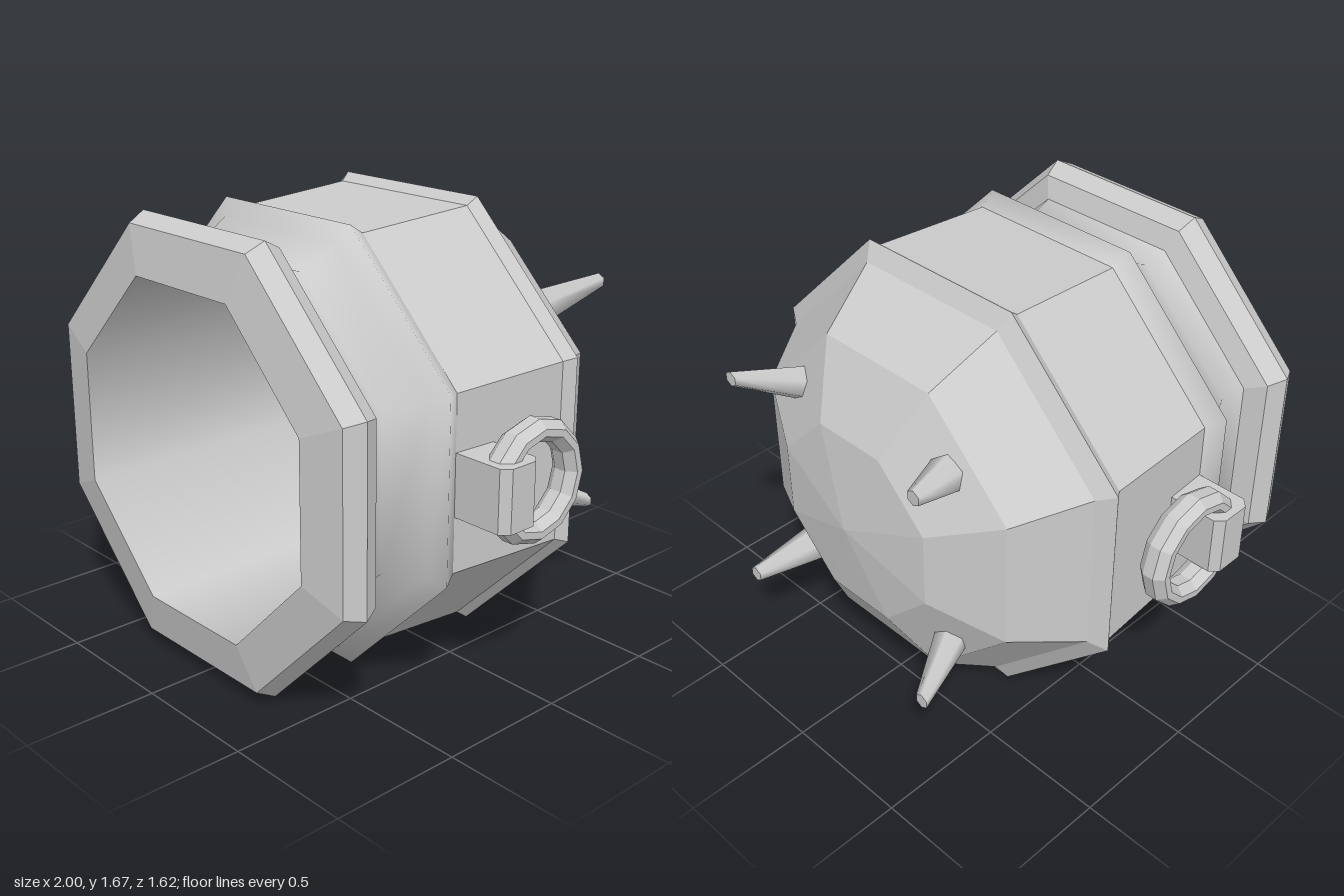
import * as THREE from 'three';

const CENTER_Y = 0.84;
const flat = new THREE.MeshStandardMaterial({ color: 0xcccccc, flatShading: true });
const smooth = new THREE.MeshStandardMaterial({ color: 0xcccccc });

// Octagonal surface around the z axis from [z, distance to flat side] pairs;
// rising z faces outward, falling z faces inward.
function octagon(name, profile, material) {
  const points = profile.map(([z, r]) => new THREE.Vector2(r / Math.cos(Math.PI / 8), z));
  const geometry = new THREE.LatheGeometry(points, 8, Math.PI / 8).rotateX(Math.PI / 2);
  const mesh = new THREE.Mesh(geometry, material);
  mesh.name = name;
  return mesh;
}

// Lug with chamfered outer corners, drawn in plan and extruded upward
function makeLug(side) {
  const shape = new THREE.Shape(
    [[0.74, 0.11], [0.97, 0.11], [1, 0.14], [1, 0.25], [0.97, 0.28], [0.74, 0.28]]
      .map(([x, z]) => new THREE.Vector2(side * x, -z)));
  const geometry = new THREE.ExtrudeGeometry(shape, { depth: 0.23, bevelEnabled: false });
  geometry.rotateX(-Math.PI / 2).translate(0, -0.115, 0);
  const mesh = new THREE.Mesh(geometry, flat);
  mesh.name = 'lug';
  return mesh;
}

// Bevelled ring with twelve sides
function makeRing(side) {
  const section = [
    [0.223, -0.022], [0.223, 0.022], [0.196, 0.055], [0.17, 0.055],
    [0.143, 0.022], [0.143, -0.022], [0.17, -0.055], [0.196, -0.055], [0.223, -0.022],
  ].map(([r, y]) => new THREE.Vector2(r, y));
  const mesh = new THREE.Mesh(new THREE.LatheGeometry(section, 12).rotateZ(Math.PI / 2), flat);
  mesh.name = 'ring';
  mesh.position.set(side * 0.915, 0, 0.057);
  return mesh;
}

// Blunt spike leaning outward, with both ends square to the z axis
function makeSpike(sx, sy) {
  const base = new THREE.Vector3(sx * 0.365, sy * 0.365, -0.56);
  const tip = new THREE.Vector3(sx * 0.468, sy * 0.455, -0.81);
  const geometry = new THREE.CylinderGeometry(0.03, 0.075, 1, 6).rotateX(-Math.PI / 2);
  const position = geometry.attributes.position;
  const v = new THREE.Vector3();
  for (let i = 0; i < position.count; i++) {
    v.fromBufferAttribute(position, i);
    const t = 0.5 - v.z;
    v.z = 0;
    v.add(base.clone().lerp(tip, t));
    position.setXYZ(i, v.x, v.y, v.z);
  }
  const mesh = new THREE.Mesh(geometry, smooth);
  mesh.name = 'spike';
  return mesh;
}

export function createModel() {
  const model = new THREE.Group();
  model.name = 'spikedBarrel';
  const body = new THREE.Group();
  body.name = 'body';
  body.position.y = CENTER_Y;
  model.add(body);

  // Faceted dome, raised ridge and main band
  body.add(octagon('domeAndBand', [
    [-0.73, 0], [-0.68, 0.36], [-0.54, 0.615], [-0.29, 0.77],
    [-0.25, 0.835], [-0.21, 0.805], [0.28, 0.775],
  ], flat));

  // Softly rounded groove behind the mouth
  body.add(octagon('neck', [
    [0.28, 0.775], [0.35, 0.815], [0.38, 0.75], [0.52, 0.675], [0.61, 0.70],
  ], smooth));

  // Bevelled collar around the mouth
  body.add(octagon('mouthRim', [
    [0.61, 0.70], [0.64, 0.78], [0.71, 0.815], [0.78, 0.78], [0.81, 0.61],
  ], flat));

  // Hollow interior
  body.add(octagon('bore', [[0.81, 0.61], [-0.24, 0.61]], smooth));
  body.add(octagon('boreFloor', [[-0.24, 0.61], [-0.24, 0]], flat));

  // Side fittings and rear spikes
  for (const side of [-1, 1]) {
    const handle = new THREE.Group();
    handle.name = side > 0 ? 'leftHandle' : 'rightHandle';
    handle.add(makeLug(side), makeRing(side));
    body.add(handle);
    for (const sy of [-1, 1]) body.add(makeSpike(side, sy));
  }
  return model;
}
